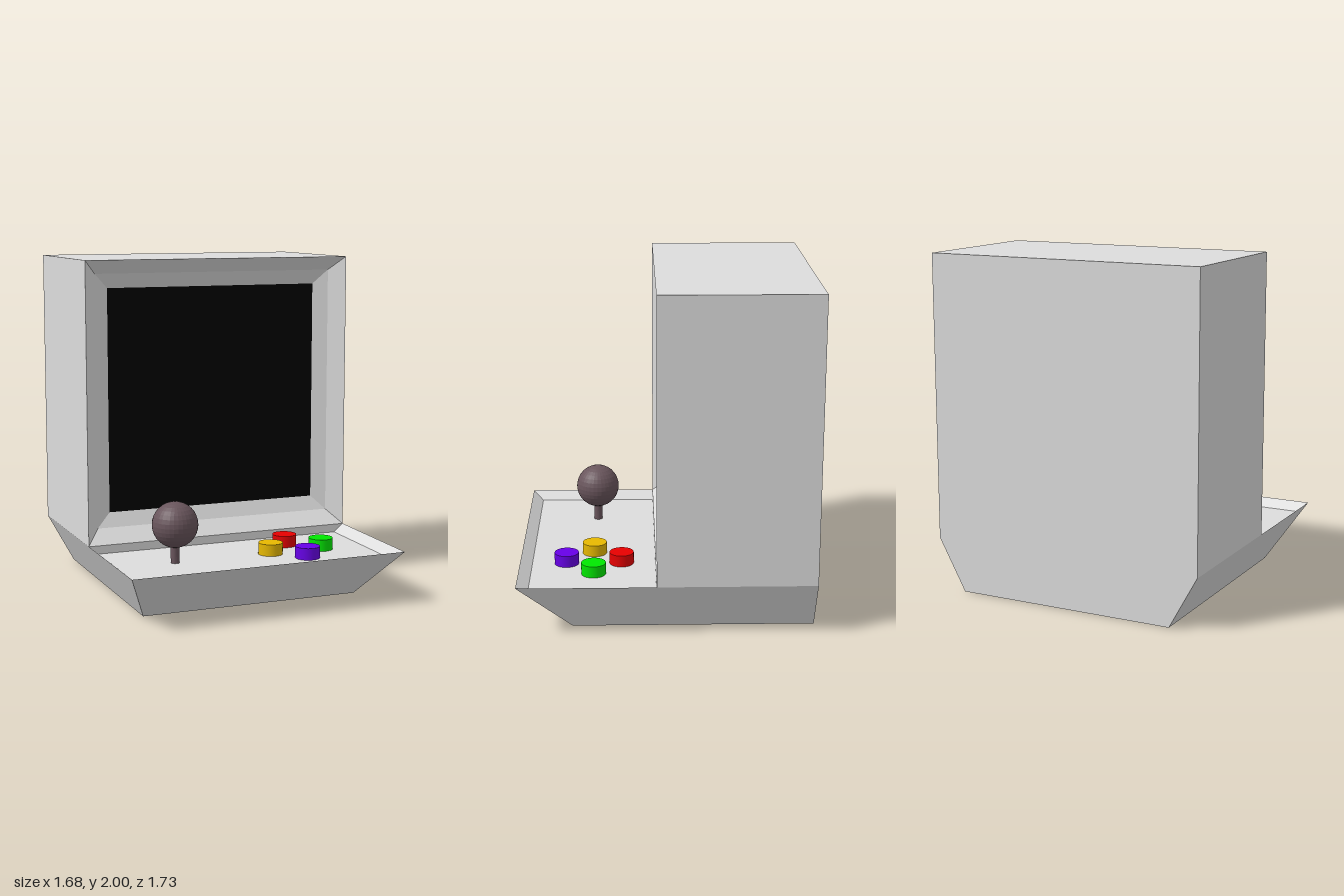
import * as THREE from 'three';

const mat = (name, color, flat = false) =>
  new THREE.MeshStandardMaterial({ name, color, flatShading: flat });

// Four-cornered rings, anticlockwise as seen from the end the loft runs towards
const flatRing = (x, y, zBack, zFront) => [[-x, y, zFront], [x, y, zFront], [x, y, zBack], [-x, y, zBack]];
const uprightRing = (x, y0, y1, z) => [[-x, y0, z], [x, y0, z], [x, y1, z], [-x, y1, z]];

// Sharp-edged skin through the rings, with optional end faces
function loft(rings, capStart, capEnd) {
  const pos = [];
  const quad = (a, b, c, d) => pos.push(...a, ...b, ...c, ...a, ...c, ...d);
  for (let r = 0; r + 1 < rings.length; r++) {
    const a = rings[r], b = rings[r + 1];
    for (let i = 0; i < 4; i++) {
      const j = (i + 1) % 4;
      quad(a[i], a[j], b[j], b[i]);
    }
  }
  if (capStart) quad(...[...rings[0]].reverse());
  if (capEnd) quad(...rings[rings.length - 1]);
  const g = new THREE.BufferGeometry();
  g.setAttribute('position', new THREE.Float32BufferAttribute(pos, 3));
  g.computeVertexNormals();
  return g;
}

export function createModel() {
  const model = new THREE.Group();
  model.name = 'arcadeConsole';
  const add = (name, geometry, material, x = 0, y = 0, z = 0) => {
    const mesh = new THREE.Mesh(geometry, material);
    mesh.name = name;
    mesh.position.set(x, y, z);
    model.add(mesh);
  };

  const grey = mat('lightGrey', 0xdddddd);
  const black = mat('screenBlack', 0x000000);
  const plum = mat('darkPlum', 0x69555c, true);

  const W = 0.84, INNER = 0.67, RIM = 0.31, FLOOR = 0.26, BACK = -0.865, FACE = 0.06, FRONT = 0.865;

  // Tapered base with a sunken control panel
  add('base', loft([
    flatRing(INNER, 0, BACK, 0.55),
    flatRing(W, RIM, BACK, FRONT),
    flatRing(W, RIM, FACE, FRONT),
    flatRing(W - 0.06, FLOOR, FACE, FRONT - 0.065),
  ], true, true), grey);

  // Cabinet with a two-step bevel leading in to the screen
  const screenRing = uprightRing(INNER, 0.48, 1.83, -0.065);
  add('cabinet', loft([
    uprightRing(W, RIM, 2, BACK),
    uprightRing(W, RIM, 2, FACE),
    uprightRing(0.757, 0.395, 1.917, -0.025),
    screenRing,
  ], true, false), grey);
  add('screen', loft([screenRing], false, true), black);

  // Joystick
  add('joystickShaft', new THREE.CylinderGeometry(0.026, 0.026, 0.14, 24), plum, -0.427, FLOOR + 0.07, 0.42);
  add('joystickBall', new THREE.SphereGeometry(0.135, 32, 16), plum, -0.427, 0.487, 0.42);

  // Four buttons in a diamond
  const buttons = [
    ['red', 0xfa0000, 0, -1],
    ['yellow', 0xfac800, -1, 0],
    ['green', 0x00fa00, 1, 0],
    ['violet', 0x7000fa, 0, 1],
  ];
  const buttonShape = new THREE.CylinderGeometry(0.073, 0.073, 0.07, 32);
  for (const [name, color, dx, dz] of buttons) {
    add(name + 'Button', buttonShape, mat(name, color), 0.34 + dx * 0.165, FLOOR + 0.035, 0.428 + dz * 0.165);
  }

  return model;
}
